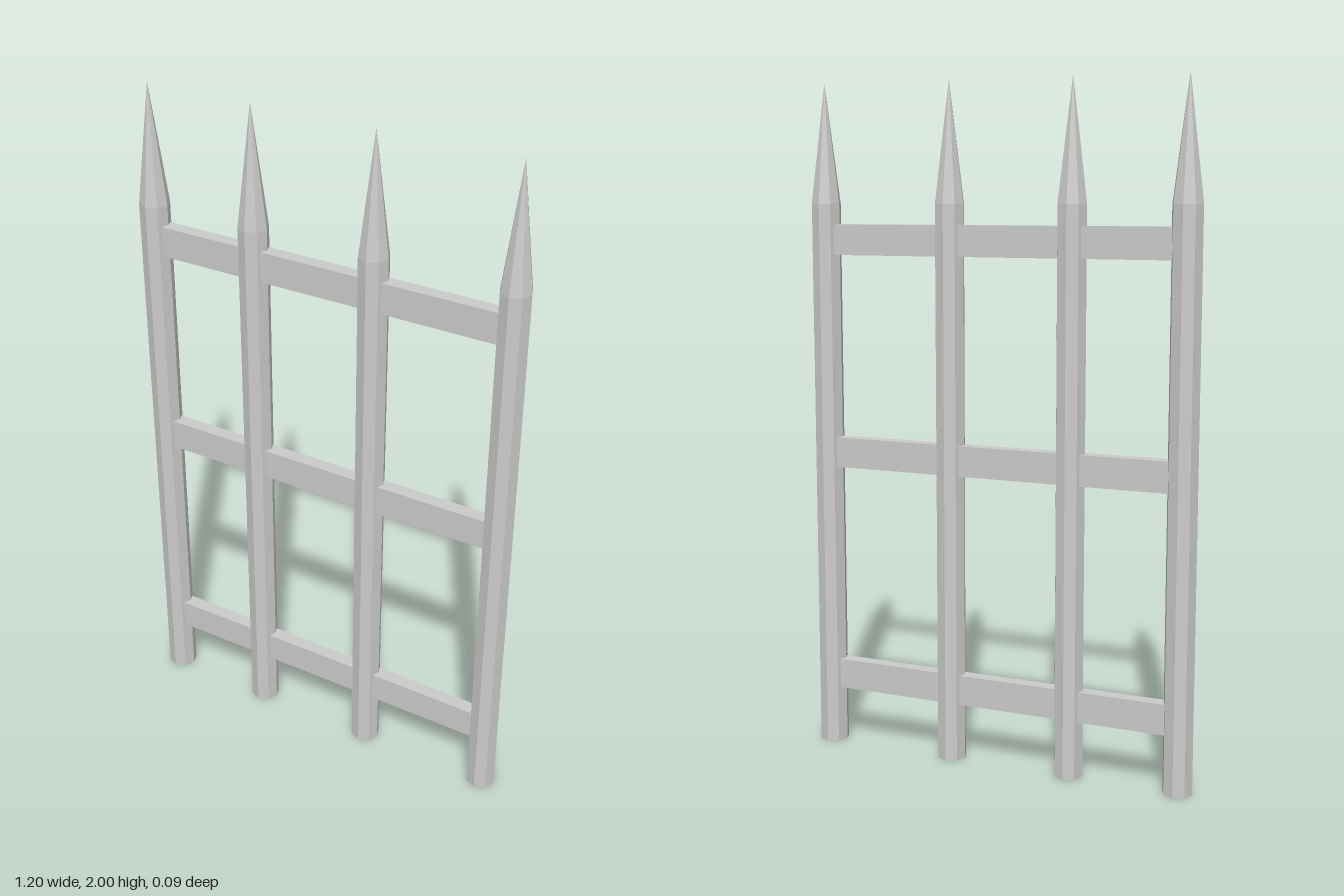
import * as THREE from 'three';

export function createModel() {
  const group = new THREE.Group();
  const material = new THREE.MeshStandardMaterial({ color: 0xcccccc, flatShading: true });

  const radius = 0.044, sides = 8, shoulder = 1.65, height = 2;

  const add = (parent, name, geometry, x, y) => {
    const mesh = new THREE.Mesh(geometry, material);
    mesh.name = name;
    mesh.position.set(x, y, 0);
    parent.add(mesh);
  };

  // Upright octagonal posts, each with a sharp point
  const shaft = new THREE.CylinderGeometry(radius, radius, shoulder, sides);
  const point = new THREE.ConeGeometry(radius, height - shoulder, sides, 1, true);
  [-0.558, -0.226, 0.151, 0.558].forEach((x) => {
    const post = new THREE.Group();
    post.name = 'post';
    post.position.x = x;
    add(post, 'postShaft', shaft, 0, shoulder / 2);
    add(post, 'postPoint', point, 0, (shoulder + height) / 2);
    group.add(post);
  });

  // Horizontal rails running through the posts
  const rail = new THREE.BoxGeometry(1.09, 0.09, 0.042);
  [0.216, 0.908, 1.545].forEach((y) => add(group, 'rail', rail, 0, y));

  return group;
}
